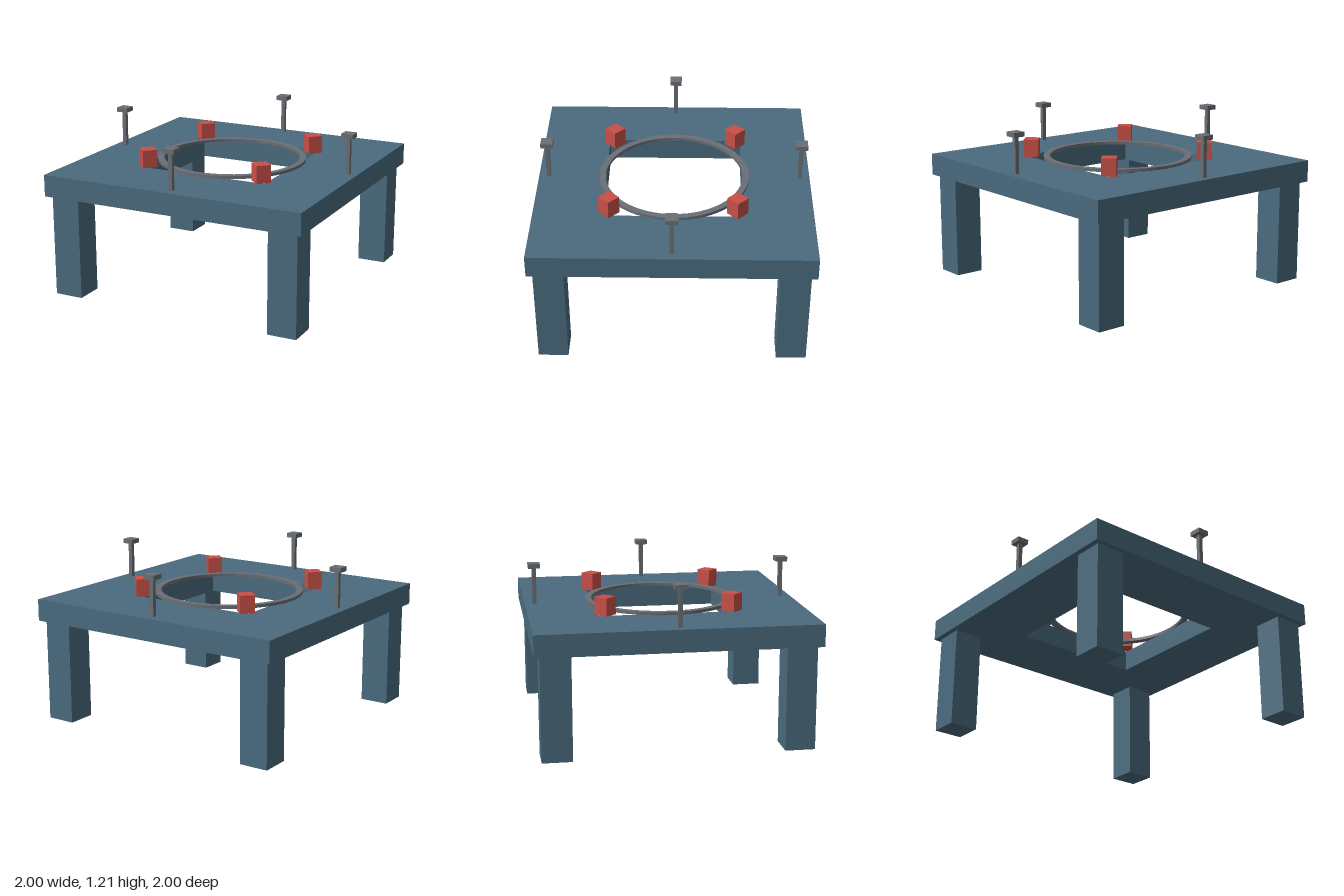
import * as THREE from 'three';

const material = (name, color) => {
  const m = new THREE.MeshStandardMaterial({ color });
  m.name = name;
  return m;
};

// Extrudes a flat shape upward, its base at height y
function slab(name, shape, height, y, mat, curveSegments = 12) {
  const geometry = new THREE.ExtrudeGeometry(shape, { depth: height, bevelEnabled: false, curveSegments });
  geometry.rotateX(-Math.PI / 2);
  const mesh = new THREE.Mesh(geometry, mat);
  mesh.name = name;
  mesh.position.y = y;
  return mesh;
}

// Square-based box with its base at height y
function post(name, width, height, x, y, z, mat) {
  const mesh = new THREE.Mesh(new THREE.BoxGeometry(width, height, width), mat);
  mesh.name = name;
  mesh.position.set(x, y + height / 2, z);
  return mesh;
}

const square = (Type, h) => new Type([
  new THREE.Vector2(-h, -h), new THREE.Vector2(h, -h),
  new THREE.Vector2(h, h), new THREE.Vector2(-h, h),
]);

export function createModel() {
  const model = new THREE.Group();
  model.name = 'table';
  const blue = material('slate blue', 0x4a6b7e);
  const grey = material('steel grey', 0x6a6f75);
  const red = material('red', 0xc94f47);
  const top = 0.91;

  // Table top with a square opening
  const plate = square(THREE.Shape, 1);
  plate.holes.push(square(THREE.Path, 0.5));
  model.add(slab('tableTop', plate, 0.16, 0.75, blue));

  // Flat ring around the opening
  const ring = new THREE.Shape().absarc(0, 0, 0.552, 0, Math.PI * 2);
  ring.holes.push(new THREE.Path().absarc(0, 0, 0.505, 0, Math.PI * 2));
  model.add(slab('ring', ring, 0.022, top, grey, 32));

  // Legs and turned clamp blocks at the corners
  for (const sx of [-1, 1]) {
    for (const sz of [-1, 1]) {
      model.add(post('leg', 0.215, 0.75, sx * 0.853, 0, sz * 0.853, blue));
      const block = post('clampBlock', 0.107, 0.13, sx * 0.457, top, sz * 0.457, red);
      block.rotation.y = Math.PI / 4;
      model.add(block);
    }
  }

  // Pins with square heads at the middle of each side
  for (let i = 0; i < 4; i++) {
    const pin = new THREE.Group();
    pin.name = 'pin';
    pin.add(post('pinShaft', 0.03, 0.266, 0, top, 0, grey));
    pin.add(post('pinHead', 0.088, 0.034, 0, 1.176, 0, grey));
    const angle = i * Math.PI / 2;
    pin.position.set(Math.cos(angle) * 0.927, 0, Math.sin(angle) * 0.927);
    model.add(pin);
  }
  return model;
}
